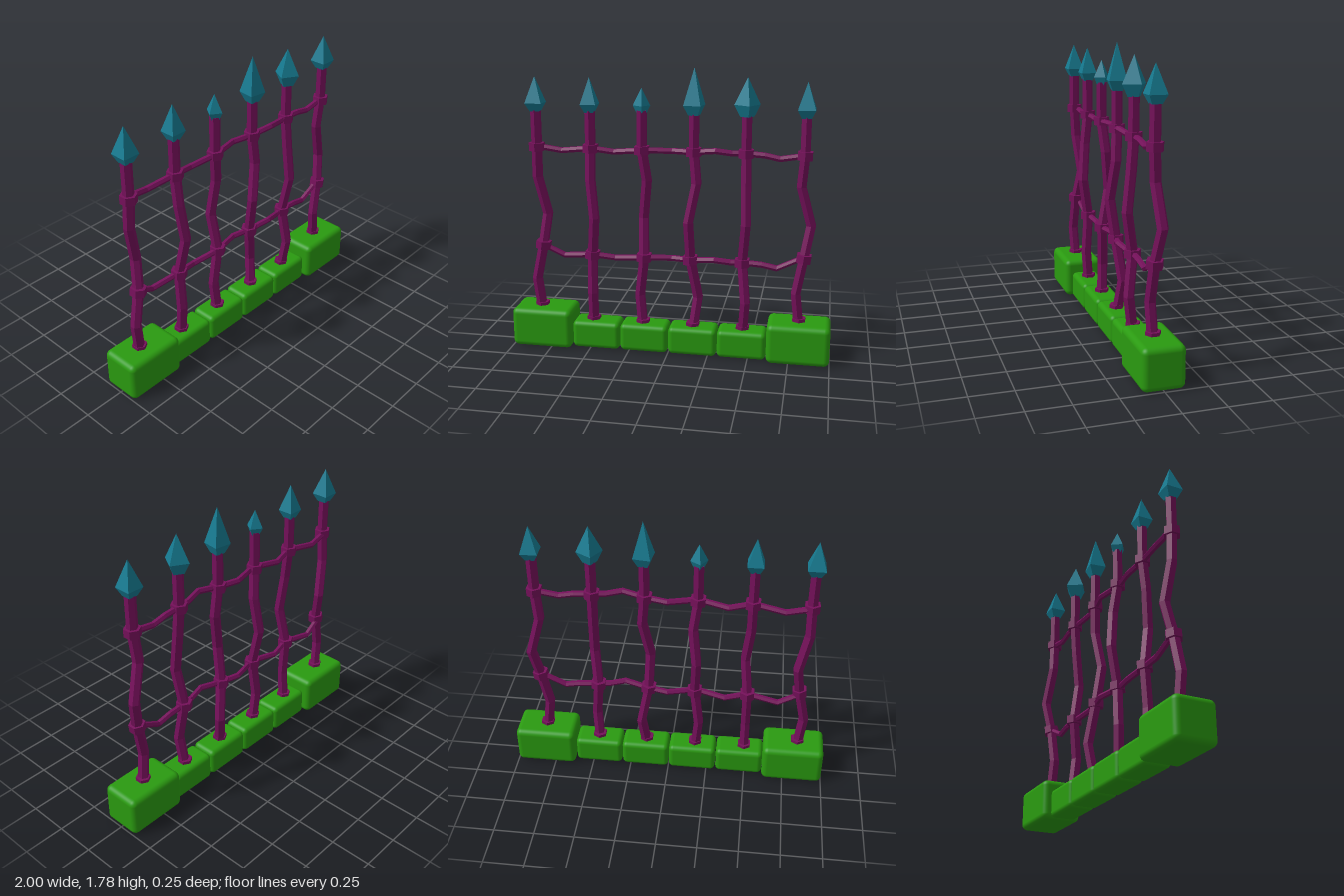
import * as THREE from 'three';
import { RoundedBoxGeometry } from 'three/addons/geometries/RoundedBoxGeometry.js';

const stone = new THREE.MeshStandardMaterial({ color: 0x2a9a10 });
const iron = new THREE.MeshStandardMaterial({ color: 0x75105a, flatShading: true });
const tip = new THREE.MeshStandardMaterial({ color: 0x167a90, flatShading: true });

const END_HEIGHT = 0.25, MIDDLE_HEIGHT = 0.175, UPPER_RAIL = 1.28, SPIKE_BASE = 1.5;

// Posts: sideways shift at four bends, depth shift at bends 1, 3 and 4,
// and spike [corner radius, widest y, tip y, turn]
const POSTS = [
  { x: -0.83, shift: [-0.025, 0.02, 0.045, -0.005], depth: [0.01, -0.035, -0.01], spike: [0.073, 1.55, 1.71, 0.785] },
  { x: -0.49, shift: [0, 0, 0.025, 0], depth: [0.015, 0.04, 0.02], spike: [0.068, 1.55, 1.71, 0.785] },
  { x: -0.17, shift: [-0.02, 0.01, 0, 0.025], depth: [-0.01, -0.045, -0.02], spike: [0.052, 1.55, 1.655, 0.2] },
  { x: 0.147, shift: [0.028, -0.017, -0.027, 0.018], depth: [-0.03, 0.035, 0.01], spike: [0.075, 1.56, 1.78, 0.65] },
  { x: 0.46, shift: [0.015, -0.01, 0.01, 0.005], depth: [0.03, 0.04, 0.015], spike: [0.078, 1.57, 1.73, 0.25] },
  { x: 0.805, shift: [-0.025, 0.015, 0.05, -0.015], depth: [0.01, -0.03, -0.01], spike: [0.073, 1.55, 1.71, 0.785] },
];

// Rail bends: x, sag, depth
const RAIL = [
  [-0.83, 0, -0.015], [-0.68, -0.025, -0.03], [-0.49, 0, 0], [-0.35, -0.022, -0.025],
  [-0.17, 0, 0.01], [0.01, -0.005, -0.03], [0.14, -0.003, 0], [0.28, 0.015, 0.03],
  [0.38, 0, 0.01], [0.46, 0, 0], [0.57, -0.007, 0], [0.66, -0.025, 0], [0.81, 0, 0],
];

// Height of the lower rail on a post with the given foot height
const lowerRailY = (foot) => 0.49 + foot * 0.65;

// Crooked six-sided bar: each ring of a cylinder is moved to one path point
function crookedBar(points, radius, alongX) {
  const rows = points.length - 1;
  const geo = new THREE.CylinderGeometry(radius, radius, rows, 6, rows);
  const pos = geo.attributes.position;
  for (let i = 0; i < pos.count; i++) {
    const [px, py, pz] = points[Math.round(pos.getY(i) + rows / 2)];
    const a = pos.getX(i), b = pos.getZ(i);
    if (alongX) pos.setXYZ(i, px, py - a, pz + b);
    else pos.setXYZ(i, px + a, py, pz + b);
  }
  geo.computeVertexNormals();
  return geo;
}

function add(parent, name, geo, mat, x = 0, y = 0, z = 0) {
  const mesh = new THREE.Mesh(geo, mat);
  mesh.name = name;
  mesh.position.set(x, y, z);
  parent.add(mesh);
  return mesh;
}

// Bent shaft with foot ring, two collars and a four-sided spike
function createPost({ x, shift, depth, spike }, foot) {
  const post = new THREE.Group();
  post.name = 'post';
  post.position.x = x;

  const path = [
    [0, foot - 0.04, 0],
    [shift[0], foot + 0.18, depth[0]],
    [shift[1], lowerRailY(foot), 0],
    [shift[2], 0.85, depth[1]],
    [shift[3], 1.09, depth[2]],
    [0, UPPER_RAIL, 0],
    [0, SPIKE_BASE + 0.02, 0],
  ];
  add(post, 'postShaft', crookedBar(path, 0.033), iron);
  add(post, 'footRing', new THREE.CylinderGeometry(0.045, 0.045, 0.04, 6), iron, 0, foot, 0);

  for (const k of [2, 5]) {
    const [before, at, after] = path.slice(k - 1, k + 2);
    const collar = add(post, 'collar', new THREE.CylinderGeometry(0.05, 0.05, 0.05, 6), iron, ...at);
    collar.rotation.z = Math.atan2(before[0] - after[0], after[1] - before[1]) * 0.7;
  }

  const [radius, wideY, tipY, turn] = spike;
  const profile = [
    new THREE.Vector2(0, SPIKE_BASE),
    new THREE.Vector2(radius * 0.55, SPIKE_BASE),
    new THREE.Vector2(radius, wideY),
    new THREE.Vector2(0, tipY),
  ];
  add(post, 'spike', new THREE.LatheGeometry(profile, 4), tip).rotation.y = turn;
  return post;
}

export function createModel() {
  const fence = new THREE.Group();
  fence.name = 'fence';

  // Rounded foundation blocks
  for (const side of [-1, 1]) {
    add(fence, 'endBlock', new RoundedBoxGeometry(0.385, END_HEIGHT, 0.25, 4, 0.035), stone, side * 0.807, END_HEIGHT / 2);
  }
  for (let i = 0; i < 4; i++) {
    add(fence, 'middleBlock', new RoundedBoxGeometry(0.302, MIDDLE_HEIGHT, 0.17, 4, 0.03), stone, -0.462 + i * 0.307, MIDDLE_HEIGHT / 2);
  }

  // End posts stand on the taller blocks
  POSTS.forEach((spec, i) => {
    const isEnd = i === 0 || i === POSTS.length - 1;
    fence.add(createPost(spec, isEnd ? END_HEIGHT : MIDDLE_HEIGHT));
  });

  // Rails: the lower one rises to meet the collars of the end posts
  const upper = RAIL.map(([x, sag, z]) => [x, UPPER_RAIL + sag, z]);
  const lower = RAIL.map(([x, sag, z]) => {
    const foot = Math.abs(x) > 0.75 ? END_HEIGHT : MIDDLE_HEIGHT;
    return [x, lowerRailY(foot) + sag, z];
  });
  add(fence, 'upperRail', crookedBar(upper, 0.019, true), iron);
  add(fence, 'lowerRail', crookedBar(lower, 0.019, true), iron);
  return fence;
}
